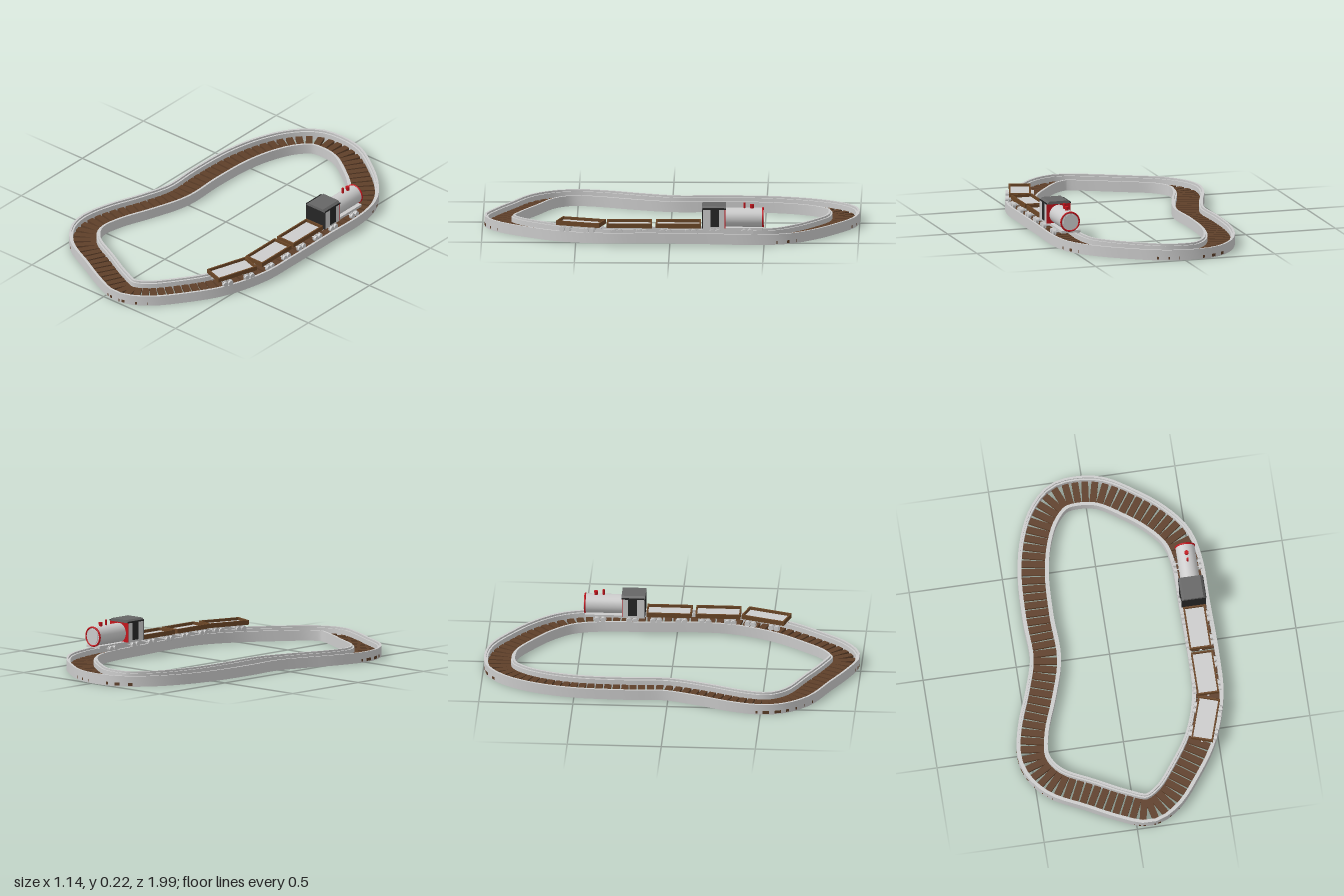
import * as THREE from 'three';
import { mergeGeometries, toCreasedNormals } from 'three/addons/utils/BufferGeometryUtils.js';

const mat = (color) => new THREE.MeshStandardMaterial({ color });
const GREY = mat(0xcccccc), TIE = mat(0x5e3f29), WOOD = mat(0x6b4626);
const BLACK = mat(0x262626), ROOF = mat(0x666666), RED = mat(0xc4141c);

function add(parent, name, geometry, material, x = 0, y = 0, z = 0) {
  const mesh = new THREE.Mesh(geometry, material);
  mesh.name = name;
  mesh.position.set(x, y, z);
  parent.add(mesh);
  return mesh;
}
const box = (w, h, d) => new THREE.BoxGeometry(w, h, d);
const alongX = (r, len, n = 20) => new THREE.CylinderGeometry(r, r, len, n).rotateZ(Math.PI / 2);
const alongZ = (r, len, n = 32) => new THREE.CylinderGeometry(r, r, len, n).rotateX(Math.PI / 2);

// Centre line of the track as x, z, rise
const path = new THREE.CatmullRomCurve3([
  [-0.04, -0.917], [0.08, -0.898], [0.225, -0.81], [0.35, -0.71], [0.445, -0.59], [0.48, -0.45, 0.003],
  [0.485, -0.2, 0.008], [0.49, 0.13, 0.012], [0.48, 0.32, 0.008], [0.41, 0.545, 0.002], [0.295, 0.725],
  [0.18, 0.86], [0.075, 0.91], [-0.055, 0.865], [-0.22, 0.78], [-0.39, 0.69], [-0.465, 0.6],
  [-0.488, 0.515], [-0.465, 0.375], [-0.395, 0.18], [-0.342, -0.01], [-0.347, -0.24],
  [-0.335, -0.5], [-0.29, -0.69], [-0.225, -0.82], [-0.14, -0.9],
].map(([x, z, y = 0]) => new THREE.Vector3(x, y, z)), true);

// Stepped rail section swept round the loop; side 1 is the outer rail, -1 the inner
function railGeometry(side) {
  let section = [[0.062, 0], [0.083, 0], [0.083, 0.056], [0.071, 0.056], [0.071, 0.046], [0.062, 0.046]];
  if (side < 0) section = section.map(([u, v]) => [-u, v]).reverse();
  const rings = 110, k = section.length, pos = [], index = [];
  for (let i = 0; i < rings; i++) {
    const p = path.getPointAt(i / rings), t = path.getTangentAt(i / rings).setY(0).normalize();
    for (const [u, v] of section) pos.push(p.x + t.z * u, p.y + v, p.z - t.x * u);
    const next = (i + 1) % rings;
    for (let j = 0; j < k; j++) {
      const a = i * k + j, b = i * k + (j + 1) % k, c = next * k + (j + 1) % k, d = next * k + j;
      index.push(a, b, c, a, c, d);
    }
  }
  const g = new THREE.BufferGeometry();
  g.setAttribute('position', new THREE.Float32BufferAttribute(pos, 3));
  g.setIndex(index);
  return toCreasedNormals(g, 0.5);
}

function createTrack() {
  const track = new THREE.Group();
  track.name = 'track';
  add(track, 'outerRail', railGeometry(1), GREY);
  add(track, 'innerRail', railGeometry(-1), GREY);
  const ties = [], count = 100;
  for (let i = 0; i < count; i++) {
    const p = path.getPointAt(i / count), t = path.getTangentAt(i / count);
    ties.push(box(0.164, 0.015, 0.036).rotateY(Math.atan2(t.x, t.z)).translate(p.x, p.y + 0.0125, p.z));
  }
  add(track, 'ties', mergeGeometries(ties), TIE);
  return track;
}

// Pair of axles with a small frame between the wheels
function createBogie(z) {
  const bogie = new THREE.Group();
  bogie.name = 'bogie';
  bogie.position.z = z;
  add(bogie, 'bogieFrame', box(0.09, 0.012, 0.05), GREY, 0, 0.079, 0);
  for (const dz of [-0.016, 0.016]) {
    add(bogie, 'axle', alongX(0.004, 0.14, 10), GREY, 0, 0.07, dz);
    for (const s of [-1, 1]) {
      add(bogie, 'wheel', alongX(0.014, 0.012), GREY, s * 0.069, 0.07, dz);
      add(bogie, 'wheelFlange', alongX(0.017, 0.004), GREY, s * 0.061, 0.07, dz);
    }
  }
  return bogie;
}

// Open tray wagon
function createWagon(x, z, turn) {
  const wagon = new THREE.Group();
  wagon.name = 'wagon';
  wagon.position.set(x, 0, z);
  wagon.rotation.y = turn;
  add(wagon, 'underframe', box(0.05, 0.01, 0.21), GREY, 0, 0.083, 0);
  add(wagon, 'floor', box(0.105, 0.008, 0.23), GREY, 0, 0.092, 0);
  for (const s of [-1, 1]) {
    add(wagon, 'sideBoard', box(0.008, 0.024, 0.24), WOOD, s * 0.054, 0.099, 0);
    add(wagon, 'endBoard', box(0.1, 0.024, 0.008), WOOD, 0, 0.099, s * 0.116);
    add(wagon, 'coupling', box(0.012, 0.006, 0.02), GREY, 0, 0.083, s * 0.114);
    wagon.add(createBogie(s * 0.067));
  }
  return wagon;
}

// Flat outline extruded along z, starting at z = 0
function slab(points, depth) {
  const shape = new THREE.Shape(points.map(([x, y]) => new THREE.Vector2(x, y)));
  return new THREE.ExtrudeGeometry(shape, { depth, bevelEnabled: false });
}

function createEngine() {
  const engine = new THREE.Group();
  engine.name = 'engine';
  engine.position.x = 0.478;
  add(engine, 'chassis', box(0.095, 0.014, 0.32), GREY, 0, 0.081, -0.333);
  for (const z of [-0.24, -0.41]) engine.add(createBogie(z));

  // Boiler with its red front band and fittings
  add(engine, 'boiler', alongZ(0.051, 0.205), GREY, 0, 0.135, -0.392);
  add(engine, 'frontBand', new THREE.TorusGeometry(0.05, 0.005, 10, 36), RED, 0, 0.135, -0.493);
  add(engine, 'boilerDoor', alongZ(0.04, 0.006), GREY, 0, 0.135, -0.496);
  add(engine, 'chimney', new THREE.CylinderGeometry(0.011, 0.009, 0.03, 18), RED, 0, 0.191, -0.435);
  add(engine, 'whistle', new THREE.CylinderGeometry(0.006, 0.006, 0.04, 14), RED, 0, 0.195, -0.395);

  // Cab with chamfered roof, dark doorways and rear, red front
  const w = 0.066, top = 0.204, eave = 0.191, base = 0.087;
  const outline = [[-w, base], [w, base], [w, eave], [w - 0.014, top], [-w + 0.014, top], [-w, eave]];
  const roof = [[-w, eave], [w, eave], [w - 0.014, top + 0.002], [-w + 0.014, top + 0.002]];
  add(engine, 'cab', slab(outline, 0.116), GREY, 0, 0, -0.291);
  add(engine, 'cabRear', slab(outline, 0.003), BLACK, 0, 0, -0.175);
  add(engine, 'cabFront', slab(outline, 0.004), RED, 0, 0, -0.295);
  add(engine, 'roof', slab(roof, 0.126), ROOF, 0, 0, -0.297);
  for (const s of [-1, 1]) {
    add(engine, 'doorway', box(0.003, 0.094, 0.046), BLACK, s * w, 0.143, -0.238);
    add(engine, 'eave', box(0.003, 0.008, 0.124), BLACK, s * w, 0.194, -0.235);
  }
  return engine;
}

export function createModel() {
  const model = new THREE.Group();
  model.name = 'trainSet';
  model.add(createTrack(), createEngine());
  model.add(createWagon(0.478, -0.045, 0), createWagon(0.48, 0.215, 0), createWagon(0.445, 0.473, -0.31));
  return model;
}
